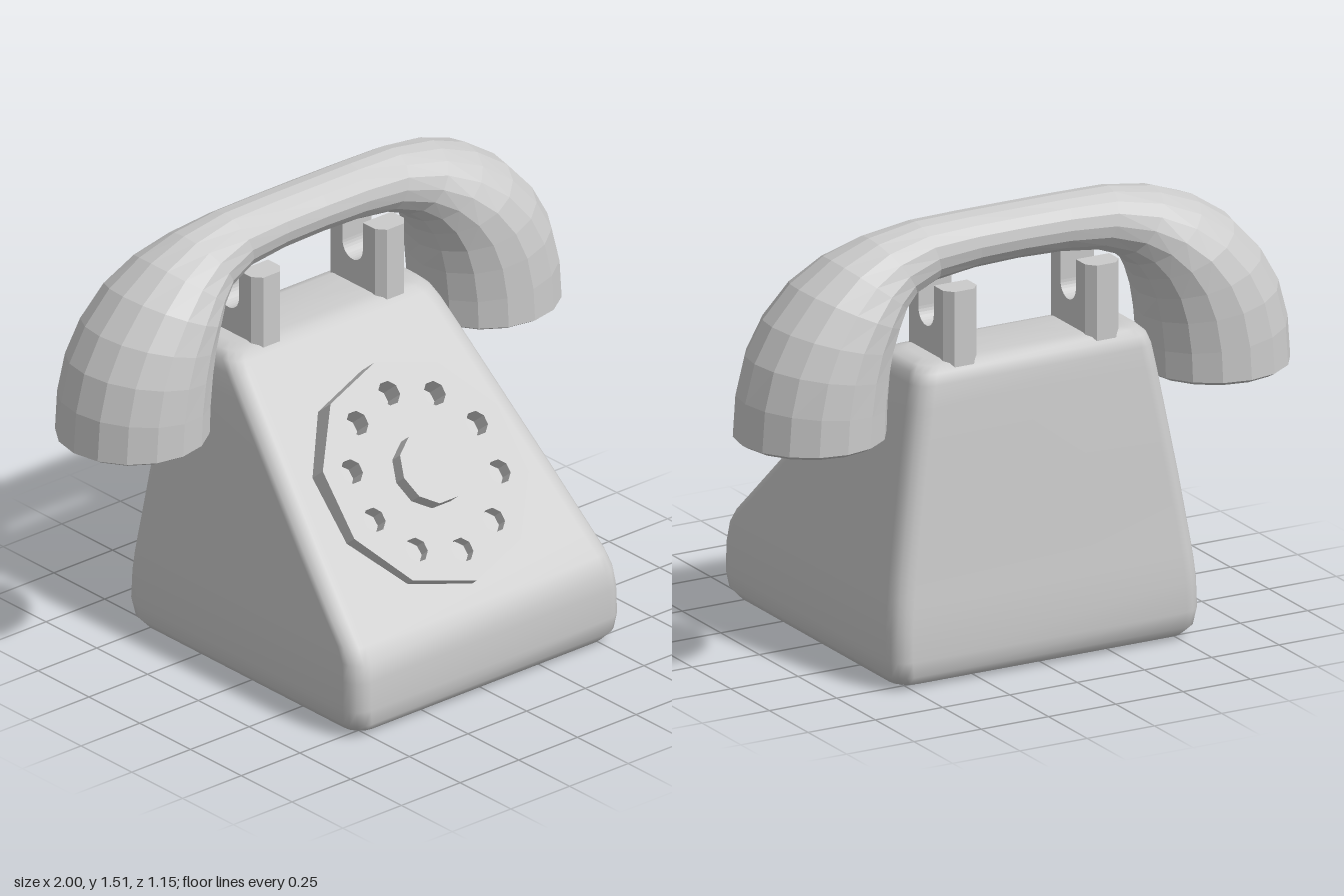
import * as THREE from 'three';

const smooth = new THREE.MeshStandardMaterial({ color: 0xcccccc });
const flat = new THREE.MeshStandardMaterial({ color: 0xcccccc, flatShading: true });

function addMesh(parent, name, geometry, material) {
  const mesh = new THREE.Mesh(geometry, material);
  mesh.name = name;
  parent.add(mesh);
  return mesh;
}

// Skin a list of equal-length rings and close both ends with a fan
function loft(rings) {
  const n = rings[0].length, points = rings.flat(), index = [];
  for (let i = 0; i < rings.length - 1; i++) {
    for (let j = 0; j < n; j++) {
      const a = i * n + j, b = i * n + (j + 1) % n;
      index.push(a, a + n, b, b, a + n, b + n);
    }
  }
  [0, rings.length - 1].forEach((i) => {
    const centre = new THREE.Vector3();
    rings[i].forEach((p) => centre.addScaledVector(p, 1 / n));
    const c = points.push(centre) - 1;
    for (let j = 0; j < n; j++) {
      const a = i * n + j, b = i * n + (j + 1) % n;
      if (i === 0) index.push(c, a, b);
      else index.push(c, b, a);
    }
  });
  const geometry = new THREE.BufferGeometry().setFromPoints(points);
  geometry.setIndex(index);
  geometry.computeVertexNormals();
  return geometry;
}

// Horizontal rounded rectangle at height y
function bodyRing([y, w, front, back]) {
  const r = 0.065, ring = [], steps = 4;
  const corners = [[w - r, front - r], [-w + r, front - r], [-w + r, back + r], [w - r, back + r]];
  corners.forEach(([cx, cz], q) => {
    for (let k = 0; k <= steps; k++) {
      const t = (q + k / steps) * Math.PI / 2;
      ring.push(new THREE.Vector3(cx + r * Math.cos(t), y, cz + r * Math.sin(t)));
    }
  });
  return ring;
}

function polygon(Type, n, radius, cx, cy, turn) {
  const points = [];
  for (let i = 0; i < n; i++) {
    const t = turn + i * 2 * Math.PI / n;
    points.push(new THREE.Vector2(cx + radius * Math.cos(t), cy + radius * Math.sin(t)));
  }
  return new Type(points);
}

function makeBody() {
  // height, half width, front z, back z
  const levels = [
    [0, 0.5, 0.5, -0.5], [0.013, 0.54, 0.54, -0.54], [0.045, 0.565, 0.566, -0.566],
    [0.1, 0.574, 0.573, -0.575], [0.2, 0.572, 0.571, -0.571], [0.26, 0.566, 0.562, -0.567],
    [0.31, 0.56, 0.53, -0.562], [0.38, 0.55, 0.46, -0.555], [0.55, 0.524, 0.294, -0.541],
    [0.75, 0.49, 0.099, -0.523], [0.92, 0.461, -0.067, -0.508], [1.0, 0.446, -0.145, -0.5],
    [1.035, 0.434, -0.182, -0.488], [1.056, 0.412, -0.21, -0.468], [1.065, 0.37, -0.245, -0.435],
  ];
  return loft(levels.map(bodyRing));
}

function makeHandset() {
  // outer x, y, inner x, y, half depth
  const half = [
    [0.975, 0.835, 0.525, 0.835, 0.225], [1.0, 0.85, 0.5, 0.85, 0.25],
    [0.99, 0.99, 0.497, 0.94, 0.25], [0.955, 1.12, 0.488, 1.04, 0.246],
    [0.89, 1.235, 0.474, 1.12, 0.235], [0.79, 1.345, 0.452, 1.185, 0.215],
    [0.67, 1.425, 0.425, 1.235, 0.18], [0.53, 1.477, 0.385, 1.27, 0.14],
    [0.36, 1.505, 0.3, 1.302, 0.11], [0.18, 1.508, 0.16, 1.32, 0.105],
  ];
  const mirrored = half.map(([a, b, c, d, h]) => [-a, b, -c, d, h]).reverse();
  const rings = [...half, [0, 1.508, 0, 1.325, 0.105], ...mirrored].map(([ox, oy, ix, iy, h]) => {
    const ring = [];
    for (let j = 0; j < 16; j++) {
      const t = j * Math.PI / 8, s = (1 + Math.cos(t)) / 2;
      ring.push(new THREE.Vector3(ix + (ox - ix) * s, iy + (oy - iy) * s, -0.325 + h * Math.sin(t)));
    }
    return ring;
  });
  return loft(rings);
}

function makeDial() {
  const dial = new THREE.Group();
  dial.name = 'dial';
  // Ten-sided plate with a ring of finger holes
  const plate = polygon(THREE.Shape, 10, 0.39, 0, 0, Math.PI / 2);
  for (let i = 0; i < 10; i++) {
    const t = Math.PI / 2 + i * Math.PI / 5;
    plate.holes.push(polygon(THREE.Path, 8, 0.042, 0.28 * Math.cos(t), 0.28 * Math.sin(t), Math.PI / 8));
  }
  const plateGeometry = new THREE.ExtrudeGeometry(plate, { depth: 0.085, bevelEnabled: false });
  addMesh(dial, 'dialPlate', plateGeometry, flat).position.z = -0.085;
  // Raised centre
  const hub = polygon(THREE.Shape, 10, 0.125, 0, 0, 0);
  const hubGeometry = new THREE.ExtrudeGeometry(hub, { depth: 0.1, bevelEnabled: false });
  addMesh(dial, 'dialHub', hubGeometry, flat).position.z = -0.05;
  dial.position.set(0, 0.675, 0.2525);
  dial.rotation.x = -0.7;
  return dial;
}

function makeCradle(x) {
  const cradle = new THREE.Group();
  cradle.name = 'cradle';
  // Front and back posts, chamfered on the outside
  const outline = [[-0.062, 0.05], [-0.062, 0.11], [-0.036, 0.14], [0.036, 0.14], [0.062, 0.11], [0.062, 0.05]];
  const post = new THREE.Shape(outline.map(([px, pz]) => new THREE.Vector2(px, pz)));
  const postGeometry = new THREE.ExtrudeGeometry(post, { depth: 0.31, bevelEnabled: false });
  postGeometry.rotateX(-Math.PI / 2);
  for (const turn of [0, Math.PI]) {
    const mesh = addMesh(cradle, 'cradlePost', postGeometry, flat);
    mesh.position.y = 0.99;
    mesh.rotation.y = turn;
  }
  // Saddle with a rounded dip between the posts
  const dip = new THREE.Shape();
  dip.moveTo(-0.06, 0.99);
  dip.lineTo(0.06, 0.99);
  dip.lineTo(0.06, 1.2);
  dip.lineTo(0.05, 1.2);
  dip.absarc(0, 1.2, 0.05, 0, -Math.PI, true);
  dip.lineTo(-0.06, 1.2);
  const saddle = new THREE.ExtrudeGeometry(dip, { depth: 0.124, bevelEnabled: false, curveSegments: 8 });
  saddle.translate(0, 0, -0.062);
  saddle.rotateY(Math.PI / 2);
  addMesh(cradle, 'cradleSaddle', saddle, flat);
  cradle.position.set(x, 0, -0.34);
  return cradle;
}

export function createModel() {
  const model = new THREE.Group();
  model.name = 'telephone';
  addMesh(model, 'body', makeBody(), smooth);
  model.add(makeDial());
  for (const side of [-1, 1]) model.add(makeCradle(side * 0.264));
  addMesh(model, 'handset', makeHandset(), flat);
  return model;
}
